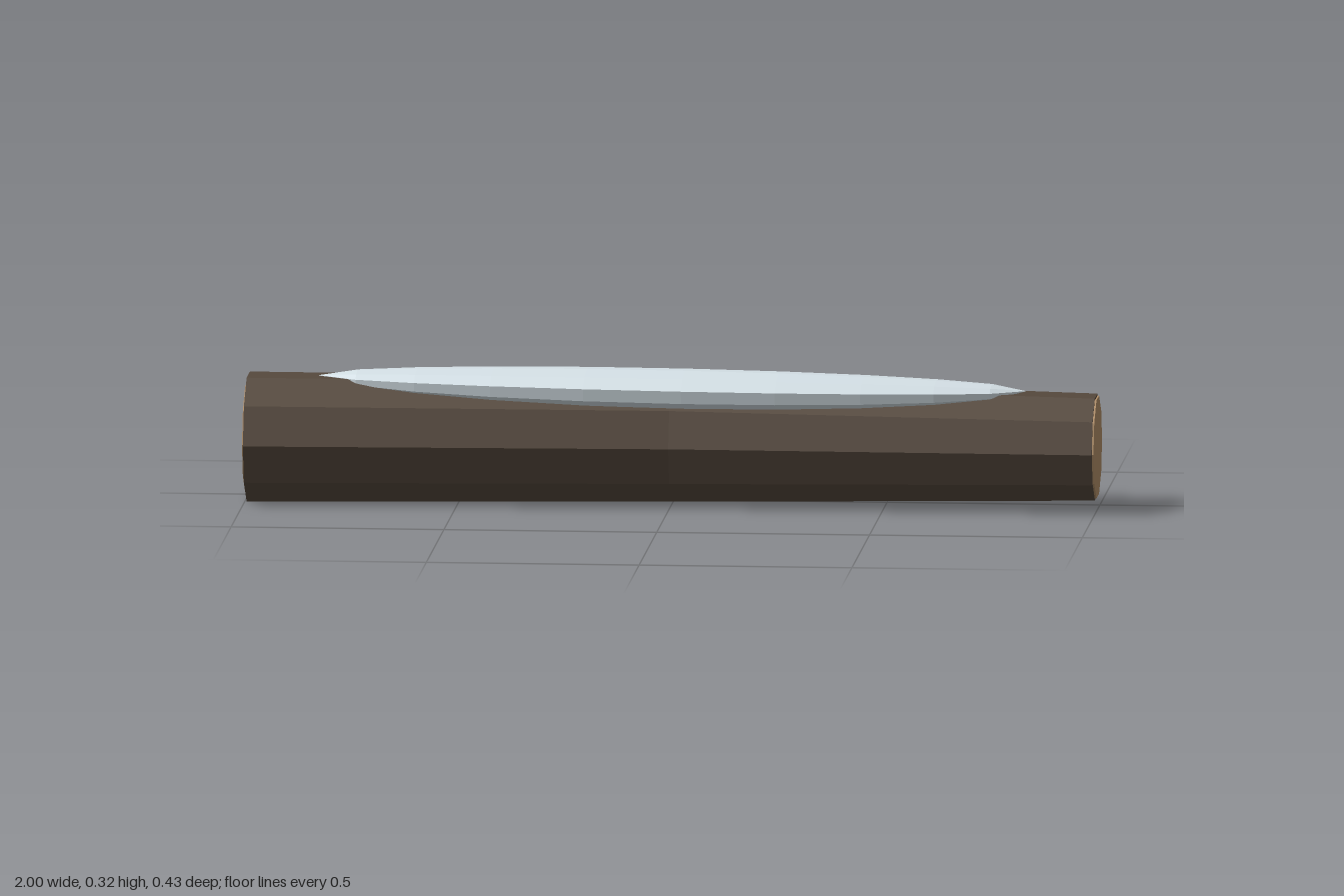
import * as THREE from 'three';

const bark = new THREE.MeshStandardMaterial({ color: 0x56493d });
bark.name = 'bark';
const wood = new THREE.MeshStandardMaterial({ color: 0xb08e68 });
wood.name = 'cutWood';
const snow = new THREE.MeshStandardMaterial({ color: 0xdbe7ed });
snow.name = 'snow';

// Faceted closed solid through rings of [x, y, z] points, ordered along +x
function loft(rings) {
  const n = rings[0].length, pos = [], idx = [];
  rings.forEach(r => r.forEach(p => pos.push(...p)));
  for (let i = 0; i < rings.length - 1; i++) {
    for (let j = 0; j < n; j++) {
      const a = i * n + j, b = i * n + (j + 1) % n;
      idx.push(a, a + n, b, b, a + n, b + n);
    }
  }
  const e = (rings.length - 1) * n;
  for (let j = 1; j < n - 1; j++) idx.push(0, j, j + 1, e, e + j + 1, e + j);
  const g = new THREE.BufferGeometry();
  g.setAttribute('position', new THREE.Float32BufferAttribute(pos, 3));
  g.setIndex(idx);
  return facet(g);
}

function facet(g) {
  const f = g.toNonIndexed();
  f.computeVertexNormals();
  return f;
}

// Ten-sided ring facing along x
function decagon(x, y, z, r) {
  return Array.from({ length: 10 }, (_, j) => {
    const a = j * Math.PI / 5;
    return [x, y + r * Math.sin(a), z + r * Math.cos(a)];
  });
}

export function createModel() {
  const group = new THREE.Group();
  group.name = 'snowyLog';
  const add = (name, geometry, material) => {
    const m = new THREE.Mesh(geometry, material);
    m.name = name;
    group.add(m);
    return m;
  };

  // Tapered, slightly bowed trunk
  add('trunk', loft([
    decagon(-0.996, 0.148, 0.061, 0.154),
    decagon(0, 0.148, 0.03, 0.147),
    decagon(0.996, 0.148, 0.06, 0.127),
  ]), bark);

  // Sawn ends
  add('rightCutEnd', loft([decagon(-1, 0.148, 0.061, 0.132), decagon(-0.99, 0.148, 0.061, 0.132)]), wood);
  add('leftCutEnd', loft([decagon(0.99, 0.148, 0.06, 0.122), decagon(1, 0.148, 0.06, 0.122)]), wood);

  // Broken branch stubs along the back
  const up = new THREE.Vector3(0, 1, 0);
  [-0.435, 0.1, 0.64].forEach((x, i) => {
    const tip = new THREE.Vector3(x, 0.246, -0.207);
    const base = new THREE.Vector3(x - 0.113, 0.182, -0.03);
    const dir = tip.clone().sub(base);
    const stub = add('branchStub' + (i + 1),
      facet(new THREE.CylinderGeometry(0.012, 0.042, dir.length(), 6)), bark);
    stub.position.copy(base).add(tip).multiplyScalar(0.5);
    stub.quaternion.setFromUnitVectors(up, dir.normalize());
  });

  // Snow drift: one [z, y] section scaled to pointed ends
  const section = [
    [0.127, 0], [0.085, 0.022], [0, 0.03], [-0.085, 0.022], [-0.127, 0],
    [-0.122, -0.03], [-0.09, -0.046], [0.09, -0.046], [0.122, -0.03],
  ];
  const stations = [-0.83, -0.74, -0.6, -0.42, -0.2, 0.03, 0.25, 0.45, 0.62, 0.75, 0.83];
  add('snowDrift', loft(stations.map(x => {
    const s = Math.max(0.01, Math.sqrt(Math.max(0, 1 - (x / 0.83) ** 2)));
    return section.map(([z, y]) => [x, 0.286 - 0.01 * x + y * s, 0.055 + z * s]);
  })), snow);

  return group;
}
